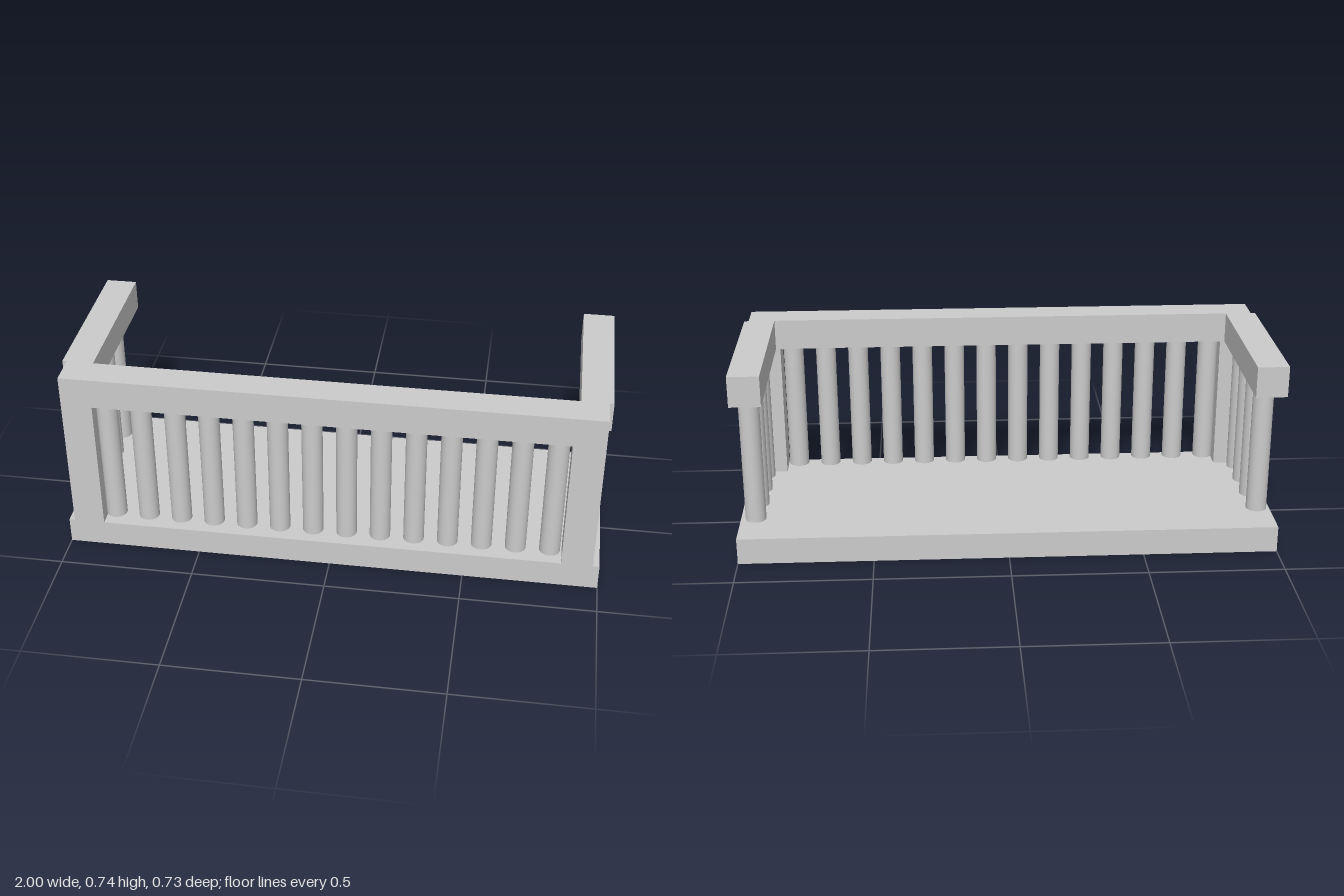
import * as THREE from 'three';

export function createModel() {
  const model = new THREE.Group();
  model.name = 'balcony';
  const material = new THREE.MeshStandardMaterial({ color: 0xcccccc });

  // Box given by its lower and upper limits on each axis
  function box(name, [x0, x1], [y0, y1], [z0, z1]) {
    const mesh = new THREE.Mesh(new THREE.BoxGeometry(x1 - x0, y1 - y0, z1 - z0), material);
    mesh.name = name;
    mesh.position.set((x0 + x1) / 2, (y0 + y1) / 2, (z0 + z1) / 2);
    model.add(mesh);
  }

  const floorTop = 0.1, railBottom = 0.622, railTop = 0.737;
  const railY = [railBottom, railTop];
  const frontZ = [0.25, 0.367];

  // Floor slab
  box('floor', [-1, 1], [0, floorTop], [-0.355, 0.367]);

  // Front frame: two corner posts with a rail between them
  box('rightPost', [-0.979, -0.864], [floorTop, railTop], frontZ);
  box('leftPost', [0.86, 0.976], [floorTop, railTop], frontZ);
  box('frontRail', [-0.864, 0.86], railY, frontZ);

  // Side rails, set slightly outside the posts and running to the back
  box('rightRail', [-0.996, -0.881], railY, [-0.366, 0.25]);
  box('leftRail', [0.877, 0.992], railY, [-0.366, 0.25]);

  // Round balusters hang from the rails and stop just above the floor
  const bottom = 0.115;
  const balusterGeometry = new THREE.CylinderGeometry(0.0385, 0.0385, railBottom - bottom, 32);
  function baluster(name, x, z) {
    const mesh = new THREE.Mesh(balusterGeometry, material);
    mesh.name = name;
    mesh.position.set(x, (bottom + railBottom) / 2, z);
    model.add(mesh);
  }
  for (let i = 0; i < 14; i++) baluster('frontBaluster', -0.826 + i * 0.1262, 0.308);
  for (let i = 0; i < 4; i++) {
    const z = 0.185 - i * 0.1313;
    baluster('rightBaluster', -0.944, z);
    baluster('leftBaluster', 0.94, z);
  }

  return model;
}
